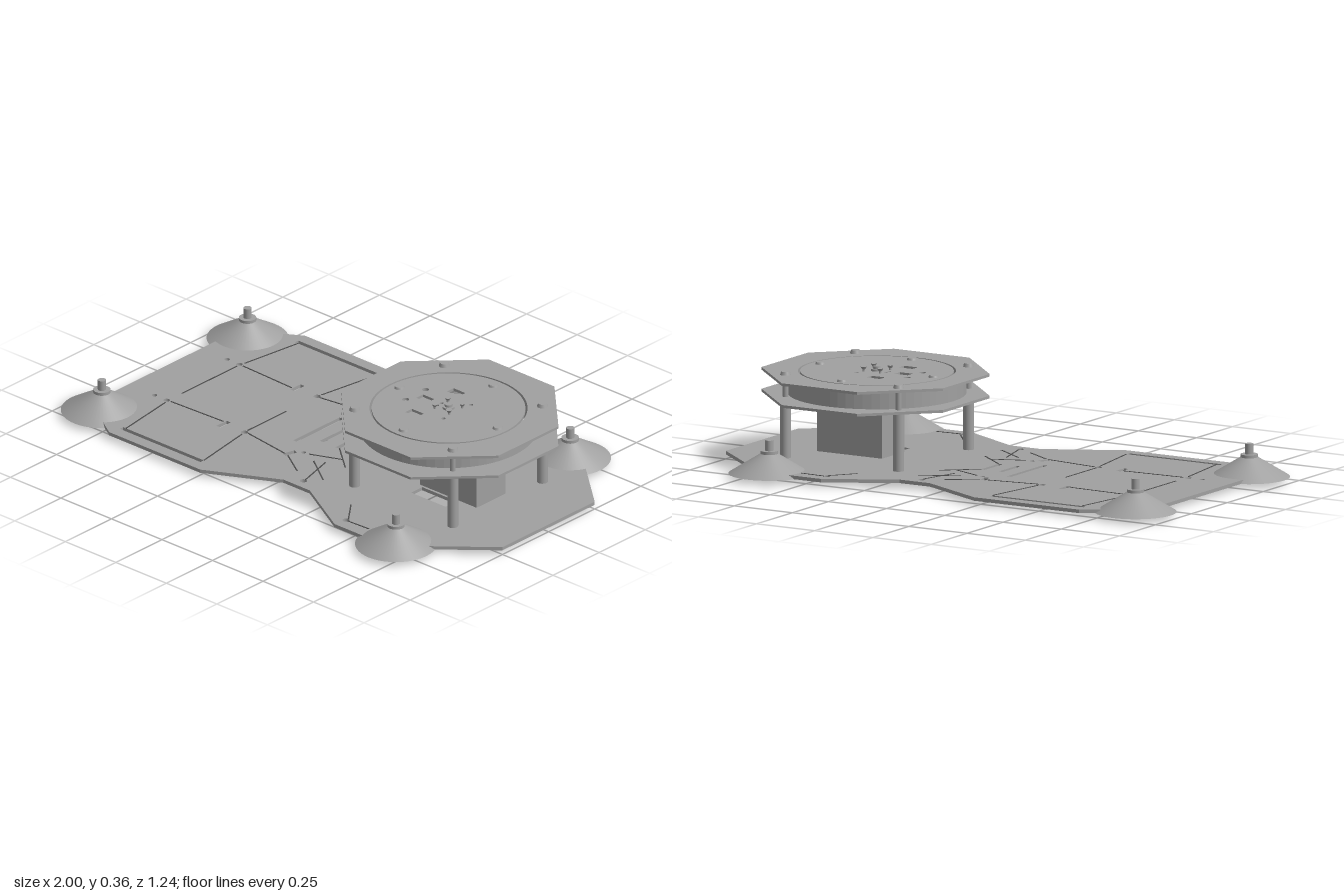
import * as THREE from 'three';

const grey = new THREE.MeshStandardMaterial({ color: 0xa0a0a0, side: THREE.DoubleSide });
grey.name = 'metal grey';
const dark = new THREE.MeshStandardMaterial({ color: 0x4c4c4c });
dark.name = 'groove grey';

const CX = 0.505; // turntable axis

export function createModel() {
  const model = new THREE.Group();

  const add = (name, geo, x = 0, y = 0, z = 0, mat = grey) => {
    const mesh = new THREE.Mesh(geo, mat);
    mesh.name = name;
    mesh.position.set(x, y, z);
    model.add(mesh);
    return mesh;
  };
  // upright cylinder between two heights
  const post = (name, r, y0, y1, x, z, sides = 20, rTop = r) =>
    add(name, new THREE.CylinderGeometry(rTop, r, y1 - y0, sides), x, (y0 + y1) / 2, z);
  // flat sheet from a shape drawn in x, z
  const sheet = (name, shape, y0, y1) => {
    const geo = new THREE.ExtrudeGeometry(shape, { depth: y1 - y0, bevelEnabled: false, curveSegments: 32 });
    geo.rotateX(Math.PI / 2);
    return add(name, geo, 0, y1, 0);
  };
  const polygon = (pts) => new THREE.Shape(pts.map(([x, z]) => new THREE.Vector2(x, z)));
  const rectHole = (shape, x, z, w, d, turn = 0) => {
    const c = Math.cos(turn), s = Math.sin(turn);
    const pts = [[-1, -1], [-1, 1], [1, 1], [1, -1]].map(([a, b]) => {
      const u = a * w / 2, v = b * d / 2;
      return new THREE.Vector2(x + u * c - v * s, z + u * s + v * c);
    });
    shape.holes.push(new THREE.Path(pts));
  };
  const roundHole = (shape, x, z, r) =>
    shape.holes.push(new THREE.Path().absarc(x, z, r, 0, Math.PI * 2, true));

  // base plate
  const half = [[-0.9, 0.4], [-0.69, 0.53], [-0.24, 0.53], [0.04, 0.385],
    [0.17, 0.385], [0.42, 0.525], [0.68, 0.525], [1, 0.25]];
  const base = polygon([...half, ...half.map(([x, z]) => [x, -z]).reverse()]);
  rectHole(base, -0.14, 0, 0.018, 0.25);
  rectHole(base, -0.065, 0, 0.018, 0.125);
  rectHole(base, 0.012, 0, 0.018, 0.125);
  rectHole(base, 0.54, 0.118, 0.17, 0.06);
  for (const s of [-1, 1]) {
    rectHole(base, -0.48, s * 0.475, 0.4, 0.018);
    rectHole(base, -0.425, s * 0.2, 0.02, 0.055);
    rectHole(base, -0.088, s * 0.21, 0.02, 0.05, s * 0.25);
    for (const [x, z, r] of [[-0.71, 0.197, 0.012], [-0.77, 0.197, 0.01], [-0.325, 0.197, 0.013],
      [-0.055, 0.172, 0.009], [0.1, 0.343, 0.013], [0.43, 0.473, 0.013]]) roundHole(base, x, s * z, r);
  }
  sheet('basePlate', base, 0.017, 0.03);

  // fine grooves scored across the base plate
  const groove = (x0, z0, x1, z1) => {
    const length = Math.hypot(x1 - x0, z1 - z0);
    const mesh = add('groove', new THREE.BoxGeometry(length, 0.002, 0.005),
      (x0 + x1) / 2, 0.0305, (z0 + z1) / 2, dark);
    mesh.rotation.y = -Math.atan2(z1 - z0, x1 - x0);
  };
  groove(-0.705, -0.18, -0.705, 0.12);
  groove(-0.325, -0.03, -0.325, 0.18);
  for (const s of [-1, 1]) {
    for (const [x0, z0, x1, z1] of [[-0.7, 0.215, -0.665, 0.465], [-0.32, 0.215, -0.28, 0.465],
      [-0.69, 0.195, -0.44, 0.185], [-0.31, 0.195, -0.1, 0.225], [-0.08, 0.23, 0.03, 0.3],
      [0.1, 0.33, 0.06, 0.18], [-0.03, 0.17, 0.09, 0.12], [0.02, 0.06, 0.14, 0.16],
      [0.02, 0.2, 0.15, 0.29], [0.44, 0.475, 0.54, 0.47], [0.43, 0.46, 0.36, 0.37]])
      groove(x0, s * z0, x1, s * z1);
  }

  // suction feet: hollow cone, collar and stem
  for (const s of [-1, 1]) {
    for (const [x, z] of [[-0.85, 0.395], [0.676, 0.472]]) {
      add('suctionCup', new THREE.CylinderGeometry(0.032, 0.15, 0.073, 48, 1, true), x, 0.0535, s * z);
      post('cupCollar', 0.032, 0.088, 0.101, x, s * z, 24);
      post('cupStem', 0.015, 0.1, 0.14, x, s * z);
    }
  }

  // octagonal ring plates with a rotating disc set inside each
  const octagon = () => {
    const a = 0.39, b = 0.162;
    return polygon([[a, b], [b, a], [-b, a], [-a, b], [-a, -b], [-b, -a], [b, -a], [a, -b]]
      .map(([x, z]) => [x + 0.006 + CX, z]));
  };
  const disc = () => new THREE.Shape().absarc(CX, 0, 0.281, 0, Math.PI * 2, false);
  const lower = octagon();
  roundHole(lower, CX, 0, 0.289);
  sheet('lowerRingPlate', lower, 0.247, 0.257);
  sheet('lowerDisc', disc(), 0.247, 0.257);
  const upper = octagon();
  roundHole(upper, CX, 0, 0.289);
  sheet('upperRingPlate', upper, 0.328, 0.338);
  const turntable = disc();
  rectHole(turntable, 0.44, -0.113, 0.058, 0.036);
  rectHole(turntable, 0.44, 0.113, 0.058, 0.036);
  rectHole(turntable, 0.39, 0, 0.056, 0.036);
  for (const s of [-1, 1]) {
    roundHole(turntable, 0.342, s * 0.054, 0.013);
    roundHole(turntable, 0.46, s * 0.012, 0.007);
    roundHole(turntable, 0.548, s * 0.075, 0.008);
  }
  sheet('turntableDisc', turntable, 0.328, 0.338);

  // drum wall between the plates
  const wall = new THREE.Shape().absarc(CX, 0, 0.327, 0, Math.PI * 2, false);
  roundHole(wall, CX, 0, 0.291);
  sheet('drumWall', wall, 0.257, 0.328);

  // standoffs with bolt heads at both ends
  for (const sx of [-1, 1]) {
    for (const sz of [-1, 1]) {
      const x = CX + sx * 0.243, z = sz * 0.243;
      post('standoff', 0.02, 0.03, 0.247, x, z, 24);
      post('standoffBolt', 0.011, 0.247, 0.34, x, z, 12);
      post('boltHead', 0.02, 0.338, 0.351, x, z, 20, 0.016);
      post('lowerBoltHead', 0.016, 0, 0.017, x, z, 20, 0.02);
    }
  }
  // screws round the turntable and its hub
  for (let i = 0; i < 4; i++) {
    const a = i * Math.PI / 2;
    post('discScrew', 0.019, 0.338, 0.346, CX + 0.243 * Math.cos(a), 0.243 * Math.sin(a), 20, 0.016);
    const x = CX + 0.05 * Math.cos(a + Math.PI / 4), z = 0.05 * Math.sin(a + Math.PI / 4);
    post('hubScrew', 0.005, 0.25, 0.347, x, z, 10);
    post('hubScrewHead', 0.006, 0.346, 0.356, x, z, 12, 0.012);
  }
  post('hubCap', 0.022, 0.338, 0.346, CX, 0, 24);
  post('shaftScrew', 0.014, 0.346, 0.355, CX, 0, 16);

  // drive motor
  add('motorBody', new THREE.BoxGeometry(0.28, 0.175, 0.156), 0.575, 0.1175, 0);
  add('motorLid', new THREE.BoxGeometry(0.25, 0.01, 0.104), 0.575, 0.21, 0);
  post('motorShaft', 0.016, 0.21, 0.33, CX, 0);
  post('shaftCollar', 0.026, 0.222, 0.235, CX, 0, 24);
  post('shaftHub', 0.04, 0.235, 0.247, CX, 0, 24);
  for (const x of [0.46, 0.69])
    for (const z of [-0.062, 0.062]) post('motorScrew', 0.01, 0.006, 0.017, x, z, 12, 0.012);
  post('motorBoss', 0.012, 0.007, 0.017, CX, 0, 20, 0.024);

  return model;
}
